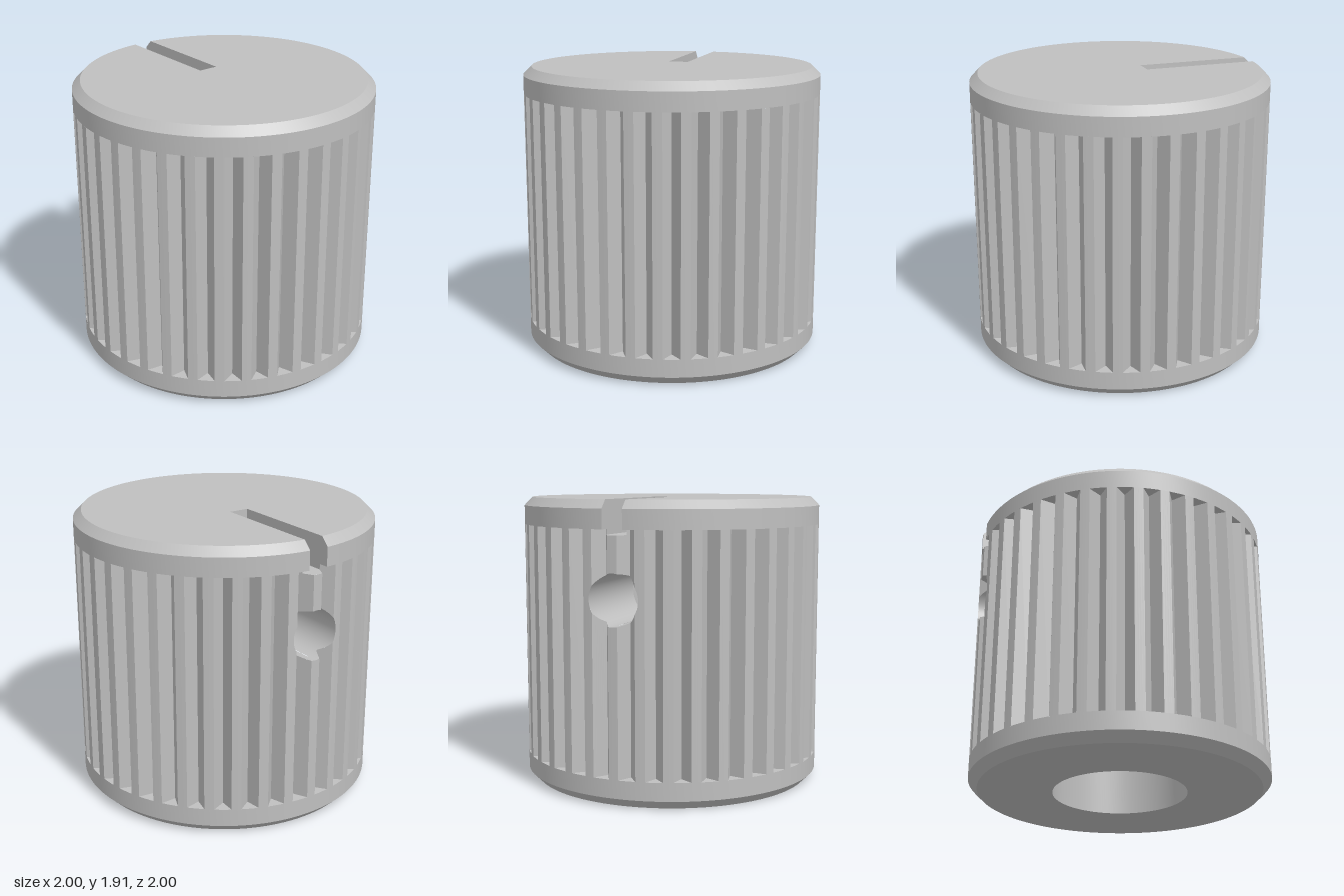
import * as THREE from 'three';
import { toCreasedNormals } from 'three/addons/utils/BufferGeometryUtils.js';

const H = 1.915, FLUTE_LOW = 0.18, FLUTE_HIGH = 1.735;     // heights
const SLOT = 0.067, SLOT_IN = -0.17, SLOT_FLOOR = 1.7;     // pointer slot
const HOLE_R = 0.165, HOLE_Y = 1.305;                      // set-screw hole
const BORE_R = 0.34, BORE_LOW = 0.4, BORE_TOP = 1.5;       // shaft bore
const FLUTES = 36, HALF = THREE.MathUtils.degToRad(3.2), FLUTE_R = 0.91;

// angle 0 is the back (-z), growing towards +x
const polar = (a, r) => [Math.sin(a) * r, -Math.cos(a) * r];

function fromQuads(quads) {
  const pos = [];
  for (const [a, b, c, d] of quads) pos.push(...a, ...b, ...c, ...a, ...c, ...d);
  const g = new THREE.BufferGeometry();
  g.setAttribute('position', new THREE.Float32BufferAttribute(pos, 3));
  return toCreasedNormals(g, 0.5);
}

// Vertical wall along a plan path, optionally pierced by the screw hole and lowered in the slot
function wall(path, low, high, { hole = false, slot = false, inward = false } = {}) {
  const quads = [];
  const gap = (x, z) => (hole && z < 0 ? Math.sqrt(Math.max(0, HOLE_R ** 2 - x * x)) : 0);
  for (let i = 0; i < path.length - 1; i++) {
    const [x0, z0] = path[i], [x1, z1] = path[i + 1];
    const ts = [0, 1];
    if (hole && z0 < 0 && Math.min(Math.abs(x0), Math.abs(x1)) < 0.2) {
      for (let k = 1; k < 8; k++) ts.push(k / 8);
      for (const x of [-HOLE_R, -SLOT, SLOT, HOLE_R]) {
        const t = (x - x0) / (x1 - x0);
        if (t > 0 && t < 1) ts.push(t);
      }
      ts.sort((a, b) => a - b);
    }
    for (let k = 0; k < ts.length - 1; k++) {
      const [p, q] = [ts[k], ts[k + 1]].map((t) => [x0 + (x1 - x0) * t, z0 + (z1 - z0) * t]);
      const inSlot = slot && p[1] < 0 && Math.abs(p[0] + q[0]) / 2 < SLOT;
      const top = inSlot ? SLOT_FLOOR : high;
      const gp = gap(...p), gq = gap(...q);
      const add = (pl, ph, ql, qh) => {
        const f = [[p[0], pl, p[1]], [p[0], ph, p[1]], [q[0], qh, q[1]], [q[0], ql, q[1]]];
        quads.push(inward ? f.reverse() : f);
      };
      if (gp + gq < 1e-6) add(low, top, low, top);
      else {
        add(low, HOLE_Y - gp, low, HOLE_Y - gq);
        add(HOLE_Y + gp, top, HOLE_Y + gq, top);
      }
    }
  }
  return fromQuads(quads);
}

// Flat face from a plan outline
function flat(outline, y, up) {
  const s = new THREE.Shape(outline.map(([x, z]) => new THREE.Vector2(x, up ? -z : z)));
  return new THREE.ShapeGeometry(s).rotateX(up ? -Math.PI / 2 : Math.PI / 2).translate(0, y, 0);
}

// Disc outline notched by the slot
function notchedDisc(r, n = 180) {
  const s = Math.asin(SLOT / r), pts = [];
  for (let i = 0; i <= n; i++) pts.push(polar(s + ((2 * Math.PI - 2 * s) * i) / n, r));
  pts.push([-SLOT, SLOT_IN], [SLOT, SLOT_IN]);
  return pts;
}

// Plan outline of the grip: narrow lands between V grooves
function gripOutline() {
  const pts = [], pitch = (2 * Math.PI) / FLUTES;
  for (let i = 0; i < FLUTES; i++) {
    const a = i * pitch, land = pitch / 2 - HALF;
    for (let k = -2; k <= 2; k++) pts.push(polar(a + (land * k) / 2, 1));
    pts.push(polar(a + pitch / 2, FLUTE_R));
  }
  pts.push(pts[0]);
  return pts;
}

// z of a plan path on the back side at a given x
function backZ(path, x) {
  for (let i = 0; i < path.length - 1; i++) {
    const [x0, z0] = path[i], [x1, z1] = path[i + 1];
    if (z0 < 0 && x >= x0 && x <= x1 && x1 > x0) return z0 + ((z1 - z0) * (x - x0)) / (x1 - x0);
  }
  return -1;
}

export function createModel() {
  const grey = new THREE.MeshStandardMaterial({ color: 0xbfbfbf });
  grey.name = 'satin grey';
  const knob = new THREE.Group();
  knob.name = 'knob';
  const add = (name, geometry) => {
    const m = new THREE.Mesh(geometry, grey);
    m.name = name;
    knob.add(m);
  };

  // Bottom collar with chamfer, underside and counterbore
  const profile = [[BORE_R, BORE_LOW], [0.446, BORE_LOW], [0.446, 0], [0.94, 0], [1, 0.06],
    [1, FLUTE_LOW], [0.88, FLUTE_LOW]].map(([x, y]) => new THREE.Vector2(x, y));
  add('bottomCollar', toCreasedNormals(new THREE.LatheGeometry(profile, 180), 0.5));

  // Fluted grip
  const grip = gripOutline();
  add('flutedGrip', wall(grip, FLUTE_LOW, FLUTE_HIGH, { hole: true, slot: true }));

  // Shaft bore
  const bore = [];
  for (let i = 0; i <= 96; i++) bore.push(polar((i / 96) * 2 * Math.PI, BORE_R));
  add('boreWall', wall(bore, BORE_LOW, BORE_TOP, { hole: true, inward: true }));
  add('boreEnd', flat(bore.slice(0, -1), BORE_TOP, false));

  // Set-screw hole from grip to bore
  const tunnel = [];
  for (let i = 0; i < 96; i++) {
    const [p, q] = [i, i + 1].map((k) => {
      const a = (k / 96) * 2 * Math.PI, x = HOLE_R * Math.cos(a), y = HOLE_Y + HOLE_R * Math.sin(a);
      return [[x, y, backZ(grip, x)], [x, y, backZ(bore, x)]];
    });
    tunnel.push([p[0], p[1], q[1], q[0]]);
  }
  add('screwHole', fromQuads(tunnel));

  // Cap: notched band, chamfer, top face and underside closing the flutes
  const rim = notchedDisc(1), crown = notchedDisc(0.945);
  const levels = [[rim, FLUTE_HIGH], [rim, 1.86], [crown, H]], side = [];
  for (let l = 0; l < 2; l++) {
    const [A, ya] = levels[l], [B, yb] = levels[l + 1];
    A.forEach((p, i) => {
      const j = (i + 1) % A.length;
      side.push([[p[0], ya, p[1]], [B[i][0], yb, B[i][1]], [B[j][0], yb, B[j][1]], [A[j][0], ya, A[j][1]]]);
    });
  }
  add('capSide', fromQuads(side));
  add('capTop', flat(crown, H, true));
  add('capUnderside', flat(rim, FLUTE_HIGH, false));

  // Lower slot walls and floor, trimmed by the two nearest flutes
  const zCut = backZ(grip, SLOT), xLand = Math.sin(Math.PI / FLUTES - HALF);
  const slotPath = [[-SLOT, zCut], [-SLOT, SLOT_IN], [SLOT, SLOT_IN], [SLOT, zCut]];
  add('slotWalls', wall(slotPath, SLOT_FLOOR, FLUTE_HIGH));
  add('slotFloor', flat([...slotPath, [xLand, -0.9995], [0, -1], [-xLand, -0.9995]], SLOT_FLOOR, true));
  return knob;
}
